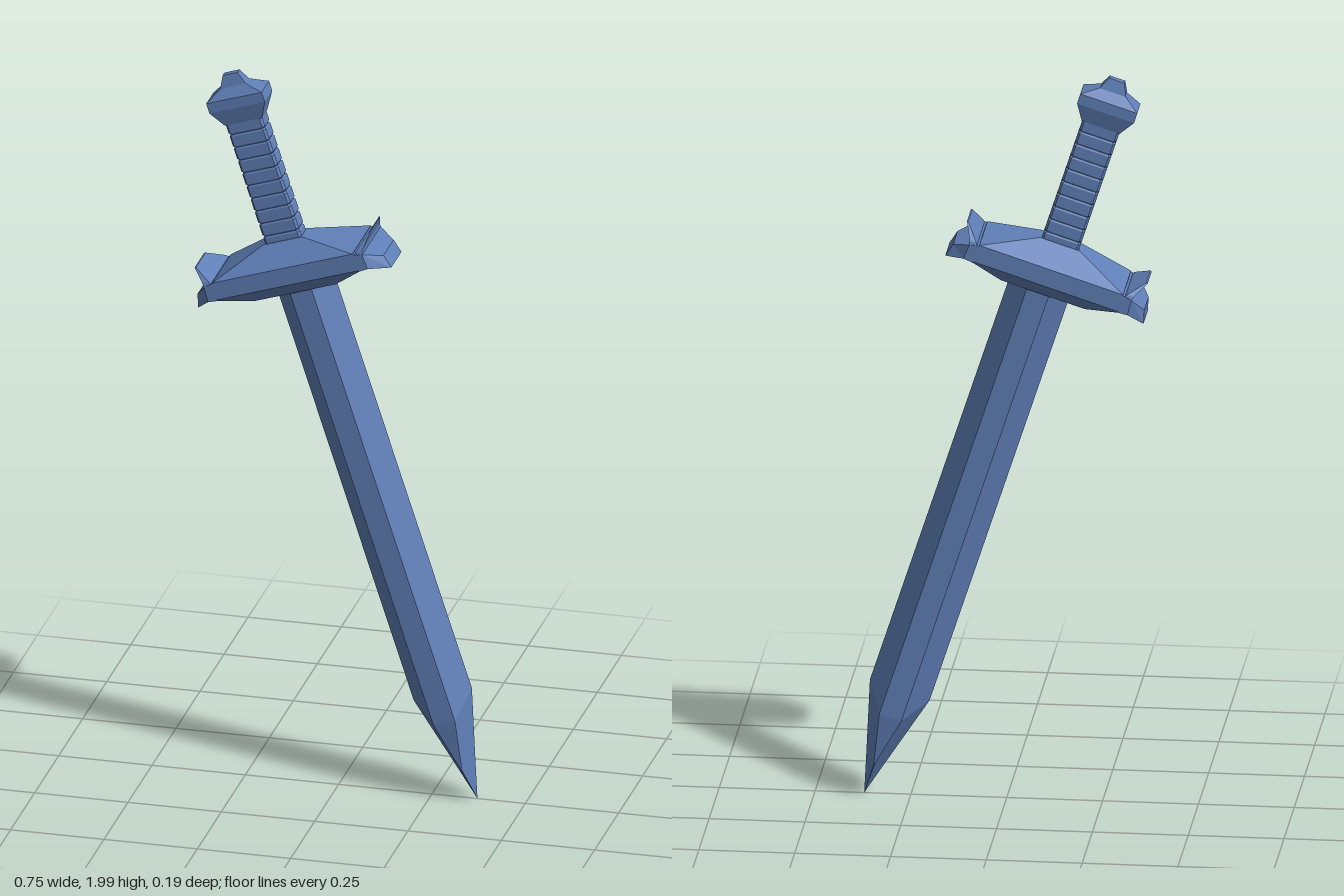
import * as THREE from 'three';

const material = new THREE.MeshStandardMaterial({ color: 0x6080b8, flatShading: true });

// Skins a list of equal-length rings of [x, y, z] points and caps both ends.
function loft(name, rings) {
  const n = rings[0].length;
  const index = [];
  for (let k = 0; k < rings.length - 1; k++) {
    for (let i = 0; i < n; i++) {
      const j = (i + 1) % n;
      const a = k * n + i, b = k * n + j, c = b + n, d = a + n;
      index.push(a, b, c, a, c, d);
    }
  }
  const top = (rings.length - 1) * n;
  for (let i = 1; i < n - 1; i++) {
    index.push(0, i + 1, i);
    index.push(top, top + i, top + i + 1);
  }
  const indexed = new THREE.BufferGeometry();
  indexed.setAttribute('position', new THREE.Float32BufferAttribute(rings.flat(2), 3));
  indexed.setIndex(index);
  const geometry = indexed.toNonIndexed();
  geometry.computeVertexNormals();
  const mesh = new THREE.Mesh(geometry, material);
  mesh.name = name;
  return mesh;
}

// Horizontal rectangle at height y, optionally shifted along x.
const rect = (y, w, d, x = 0) =>
  [[x - w, y, d], [x + w, y, d], [x + w, y, -d], [x - w, y, -d]];

// Six-sided blade section: cutting edges at ±w, flat ridge band ±r at depth d.
const hex = (yEdge, w, yRidge, r, d) => [
  [-w, yEdge, 0], [-r, yRidge, d], [r, yRidge, d],
  [w, yEdge, 0], [r, yRidge, -d], [-r, yRidge, -d],
];

// Rectangle with clipped corners for the grip.
function clipped(y, w, d, c = 0.006) {
  return [
    [-w, y, d - c], [-w + c, y, d], [w - c, y, d], [w, y, d - c],
    [w, y, -d + c], [w - c, y, -d], [-w + c, y, -d], [-w, y, -d + c],
  ];
}

// Upright section of a guard claw, standing across the x direction.
const upright = (xTop, yTop, xBottom, yBottom, d) =>
  [[xBottom, yBottom, d], [xBottom, yBottom, -d], [xTop, yTop, -d], [xTop, yTop, d]];

export function createModel() {
  const model = new THREE.Group();
  model.name = 'sword';

  // Blade, point down
  model.add(loft('blade', [
    hex(0, 0, 0, 0, 0),
    hex(0.1, 0.027, 0.1, 0.001, 0.045),
    hex(0.3, 0.082, 0.24, 0.03, 0.057),
    hex(1.53, 0.082, 1.53, 0.03, 0.057),
  ]));

  // The hilt sits slightly off the blade's centre line
  const hilt = new THREE.Group();
  hilt.name = 'hilt';
  hilt.position.x = -0.014;
  model.add(hilt);

  // Crossguard body
  hilt.add(loft('crossguard', [
    rect(1.482, 0.115, 0.062),
    rect(1.518, 0.212, 0.097),
    rect(1.566, 0.197, 0.097),
    rect(1.617, 0.055, 0.03),
  ]));

  // Drooping claw and raised lip at each end of the guard
  for (const turn of [0, Math.PI]) {
    const end = new THREE.Group();
    end.name = turn ? 'rightGuardEnd' : 'leftGuardEnd';
    end.rotation.y = turn;
    end.add(loft('claw', [
      upright(0.19, 1.566, 0.2, 1.515, 0.097),
      upright(0.222, 1.558, 0.225, 1.517, 0.097),
      upright(0.262, 1.53, 0.272, 1.493, 0.053),
    ]));
    end.add(loft('lip', [
      rect(1.555, 0.012, 0.097, 0.21),
      rect(1.568, 0.009, 0.092, 0.216),
      rect(1.601, 0.002, 0.05, 0.246),
    ]));
    hilt.add(end);
  }

  // Grip wrapped in shallow bands
  const bands = 10, y0 = 1.6, y1 = 1.965;
  const step = (y1 - y0) / bands;
  const gripRings = [];
  for (let i = 0; i < bands; i++) {
    const y = y0 + i * step;
    gripRings.push(
      clipped(y, 0.048, 0.025),
      clipped(y + step * 0.12, 0.051, 0.028),
      clipped(y + step * 0.88, 0.051, 0.028),
    );
  }
  gripRings.push(clipped(y1, 0.048, 0.025));
  hilt.add(loft('grip', gripRings));

  // Pommel with a small flared knob
  hilt.add(loft('pommel', [
    rect(1.958, 0.052, 0.028),
    rect(2.003, 0.078, 0.039),
    rect(2.031, 0.078, 0.039),
    rect(2.056, 0.036, 0.018),
    rect(2.088, 0.021, 0.01),
  ]));

  // Lean the whole sword
  model.rotation.z = 0.315;
  model.position.set(0.372, 0.005, 0);
  const root = new THREE.Group();
  root.name = 'leaningSword';
  root.add(model);
  return root;
}
